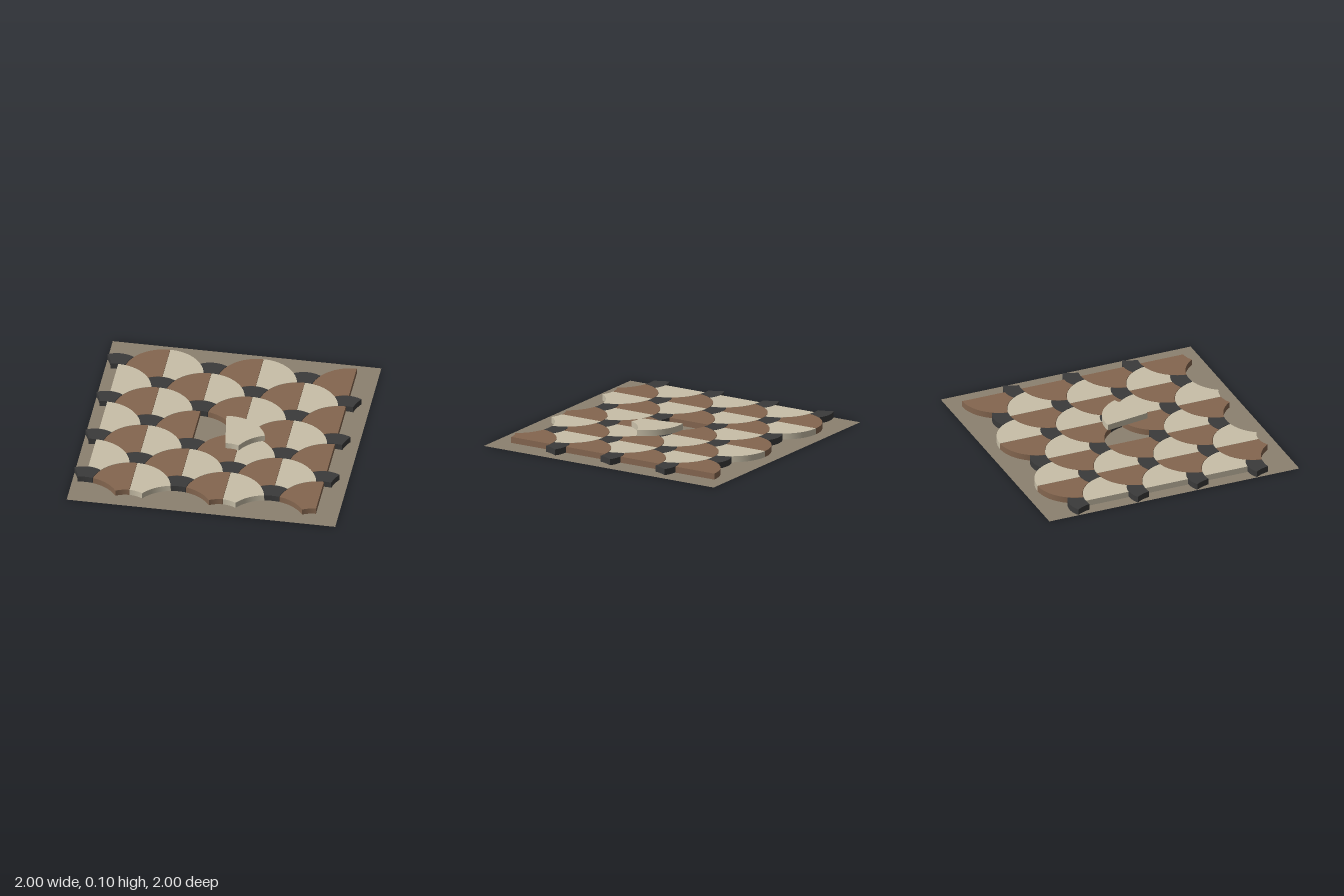
import * as THREE from 'three';
import { toCreasedNormals } from 'three/addons/utils/BufferGeometryUtils.js';

const R = 0.295;        // radius of a scale
const INNER = 0.19;     // radius of the key stone's upper arc
const HALF = 0.3475;    // half the column spacing
const ROW = 0.238;      // row spacing
const GAP = 0.003;      // joint between stones
const THICK = 0.046;
const BASE = 0.003;
const FIRST = -0.605;   // z of the first row's circle centres

const material = (name, color) => {
  const m = new THREE.MeshStandardMaterial({ color });
  m.name = name;
  return m;
};

// Upper (or lower) crossing of two circles [x, y, r]
function crossing([x1, y1, r1], [x2, y2, r2], upper = true) {
  const dx = x2 - x1, dy = y2 - y1, d = Math.hypot(dx, dy);
  const a = (r1 * r1 - r2 * r2 + d * d) / (2 * d);
  const h = Math.sqrt(r1 * r1 - a * a);
  const pts = [1, -1].map((s) => new THREE.Vector2(
    x1 + (a * dx - s * h * dy) / d, y1 + (a * dy + s * h * dx) / d));
  pts.sort((p, q) => q.y - p.y);
  return pts[upper ? 0 : 1];
}

// Points along a circle from p to q, the short way round
function arc([cx, cy, r], p, q, n = 16) {
  const a = Math.atan2(p.y - cy, p.x - cx);
  let d = Math.atan2(q.y - cy, q.x - cx) - a;
  if (d > Math.PI) d -= 2 * Math.PI;
  if (d < -Math.PI) d += 2 * Math.PI;
  return Array.from({ length: n + 1 }, (_, i) => new THREE.Vector2(
    cx + r * Math.cos(a + d * i / n), cy + r * Math.sin(a + d * i / n)));
}

// Lay an outline flat and give it thickness
function stone(points) {
  const outline = points.filter((p, i) => i === 0 || p.distanceTo(points[i - 1]) > 1e-5);
  const geo = new THREE.ExtrudeGeometry(new THREE.Shape(outline), { depth: THICK, bevelEnabled: false });
  geo.rotateX(-Math.PI / 2);
  return toCreasedNormals(geo, 0.5);
}

// Half scale: outer arc, concave side along the neighbour, short arc at the tail
function halfScale(side) {
  const outer = [0, 0, R], neighbour = [HALF, -ROW, R + GAP], tail = [0, -ROW, INNER + GAP];
  const tip = crossing(outer, neighbour), heel = crossing(neighbour, tail);
  const seam = 0.001;
  const pts = [
    ...arc(outer, new THREE.Vector2(seam, R), tip, 24),
    ...arc(neighbour, tip, heel).slice(1),
    ...arc(tail, heel, new THREE.Vector2(seam, -ROW + INNER + GAP), 10).slice(1),
  ];
  return stone(pts.map((p) => new THREE.Vector2(p.x * side, p.y)));
}

// Key stone between four scales, measured from the scale above it
function keyStone() {
  const top = [0, -ROW, INNER], right = [HALF, -ROW, R + GAP], below = [0, -2 * ROW, R + GAP];
  const a = crossing(top, right), b = crossing(right, below, true);
  const flip = (p) => new THREE.Vector2(-p.x, p.y);
  const sideArc = arc(right, a, b, 8);
  return stone([
    ...arc(top, flip(a), a, 14),
    ...sideArc.slice(1),
    ...arc(below, b, flip(b), 10).slice(1),
    ...sideArc.map(flip).reverse().slice(1, -1),
  ]);
}

export function createModel() {
  const model = new THREE.Group();
  model.name = 'scalePavement';
  const bed = material('mortar', 0x8c8170);
  bed.side = THREE.DoubleSide;
  const cream = material('creamStone', 0xc8bfa8);
  const brown = material('brownStone', 0x84664f);
  const dark = material('darkStone', 0x3a3a3a);

  const add = (name, geo, mat, x, y, z) => {
    const mesh = new THREE.Mesh(geo, mat);
    mesh.name = name;
    mesh.position.set(x, y, z);
    model.add(mesh);
    return mesh;
  };

  const ground = add('mortarBed', new THREE.PlaneGeometry(2, 2), bed, 0, 0, 0);
  ground.rotation.x = -Math.PI / 2;

  const creamGeo = halfScale(1), brownGeo = halfScale(-1), keyGeo = keyStone();

  // Staggered rows; the outer columns are cut to half scales
  for (let row = 0; row < 7; row++) {
    const odd = row % 2;
    for (let col = 0; col < 3; col++) {
      const x = -0.555 + col * 2 * HALF - odd * HALF;
      const z = FIRST + row * ROW;
      const loose = row === 3 && col === 1;
      if (!(odd && col === 0)) add('brownScale', brownGeo, brown, x, BASE, z);
      if (!(!odd && col === 2) && !loose) add('creamScale', creamGeo, cream, x, BASE, z);
    }
  }

  // Key stones sit at the tail of each scale position
  for (let row = -1; row < 6; row++) {
    const odd = Math.abs(row % 2);
    for (let col = 0; col < 3; col++) {
      add('keyStone', keyGeo, dark, -0.555 + col * 2 * HALF - odd * HALF, BASE, FIRST + row * ROW);
    }
  }

  // Loose stone lifted from its gap, turned about its upper corner
  const turn = 0.15;
  const loose = add('looseScale', creamGeo, cream,
    R * Math.sin(turn), BASE + THICK + 0.002, -0.095 + R * Math.cos(turn));
  loose.rotation.y = turn;

  return model;
}
